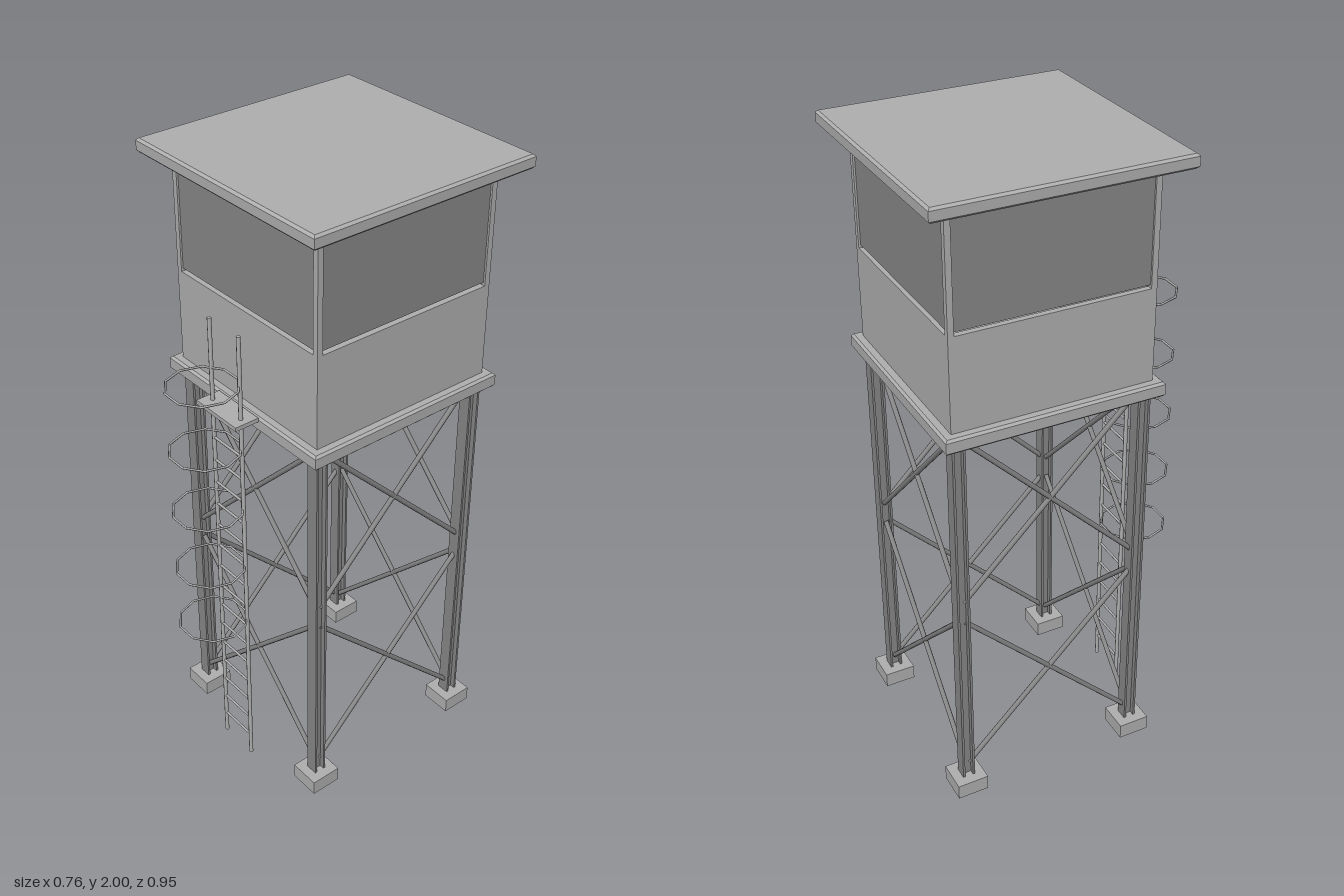
import * as THREE from 'three';

const CZ = -0.093; // centre of the tower, behind the ladder

const mat = (name, color) => Object.assign(new THREE.MeshStandardMaterial({ color }), { name });

export function createModel() {
  const root = new THREE.Group();
  root.name = 'watchtower';
  const light = mat('light grey', 0xb0b0b0);
  const dark = mat('dark grey', 0x888888);

  const add = (parent, name, geo, material, x = 0, y = 0, z = 0) => {
    const m = new THREE.Mesh(geo, material);
    m.name = name;
    m.position.set(x, y, z);
    parent.add(m);
    return m;
  };
  const box = (parent, name, material, w, h, d, x, y, z) =>
    add(parent, name, new THREE.BoxGeometry(w, h, d), material, x, y, z);
  const rod = (parent, name, material, a, b, r, sides = 8) => {
    const dir = b.clone().sub(a);
    const m = add(parent, name, new THREE.CylinderGeometry(r, r, dir.length(), sides), material);
    m.position.copy(a).add(b).multiplyScalar(0.5);
    m.quaternion.setFromUnitVectors(new THREE.Vector3(0, 1, 0), dir.normalize());
    return m;
  };
  const V = (x, y, z) => new THREE.Vector3(x, y, z);

  const tower = new THREE.Group();
  tower.name = 'tower';
  tower.position.z = CZ;
  root.add(tower);

  // Square slab with chamfered edges
  const slab = (name, half, y0, y1) => {
    const b = 0.007, h = half - b;
    const s = new THREE.Shape([[-h, -h], [h, -h], [h, h], [-h, h]].map(p => new THREE.Vector2(...p)));
    const g = new THREE.ExtrudeGeometry(s, {
      depth: y1 - y0 - 2 * b, bevelEnabled: true, bevelSize: b, bevelThickness: b, bevelSegments: 1,
    });
    g.rotateX(-Math.PI / 2);
    add(tower, name, g, light, 0, y0 + b, 0);
  };
  slab('deck', 0.34, 1.27, 1.317);
  slab('roof', 0.38, 1.958, 2.0);

  // H-section legs on footings, and cabin corner posts
  for (const sx of [-1, 1]) for (const sz of [-1, 1]) {
    const x = sx * 0.29, z = sz * 0.29;
    box(tower, 'footing', light, 0.1, 0.05, 0.1, x, 0.025, z);
    const leg = new THREE.Group();
    leg.name = 'leg';
    leg.position.set(x, 0.66, z);
    tower.add(leg);
    box(leg, 'legWeb', dark, 0.008, 1.22, 0.026, 0, 0, 0);
    for (const s of [-1, 1]) box(leg, 'legFlange', dark, 0.04, 1.22, 0.007, 0, 0, s * 0.0165);
    box(tower, 'cornerPost', light, 0.018, 0.643, 0.018, sx * 0.303, 1.6375, sz * 0.303);
  }

  // Each of the four sides: cross braces, lower wall and inset window
  for (let i = 0; i < 4; i++) {
    const side = new THREE.Group();
    side.name = 'side';
    side.rotation.y = i * Math.PI / 2;
    tower.add(side);
    for (const cy of [0.37, 1.003]) for (const s of [-1, 1])
      rod(side, 'brace', dark, V(-0.28, cy - s * 0.28, 0.29), V(0.28, cy + s * 0.28, 0.29), 0.008);
    box(side, 'wall', light, 0.588, 0.291, 0.018, 0, 1.4615, 0.303);
    box(side, 'window', dark, 0.588, 0.334, 0.006, 0, 1.783, 0.303);
  }

  // Ladder with rungs, landing plate and safety hoops
  const ladder = new THREE.Group();
  ladder.name = 'ladder';
  root.add(ladder);
  for (const s of [-1, 1])
    rod(ladder, 'rail', light, V(s * 0.066, 0, 0.29), V(s * 0.066, 1.585, 0.29), 0.0065);
  for (let i = 1; i <= 16; i++)
    rod(ladder, 'rung', light, V(-0.066, i * 0.0793, 0.29), V(0.066, i * 0.0793, 0.29), 0.0045, 6);
  box(ladder, 'landing', light, 0.184, 0.013, 0.08, 0, 1.312, 0.288);
  for (let i = 0; i < 5; i++) {
    const g = new THREE.TorusGeometry(0.105, 0.0035, 6, 10);
    g.rotateX(Math.PI / 2);
    add(ladder, 'hoop', g, light, 0, 0.582 + i * 0.211, 0.37);
  }
  return root;
}
